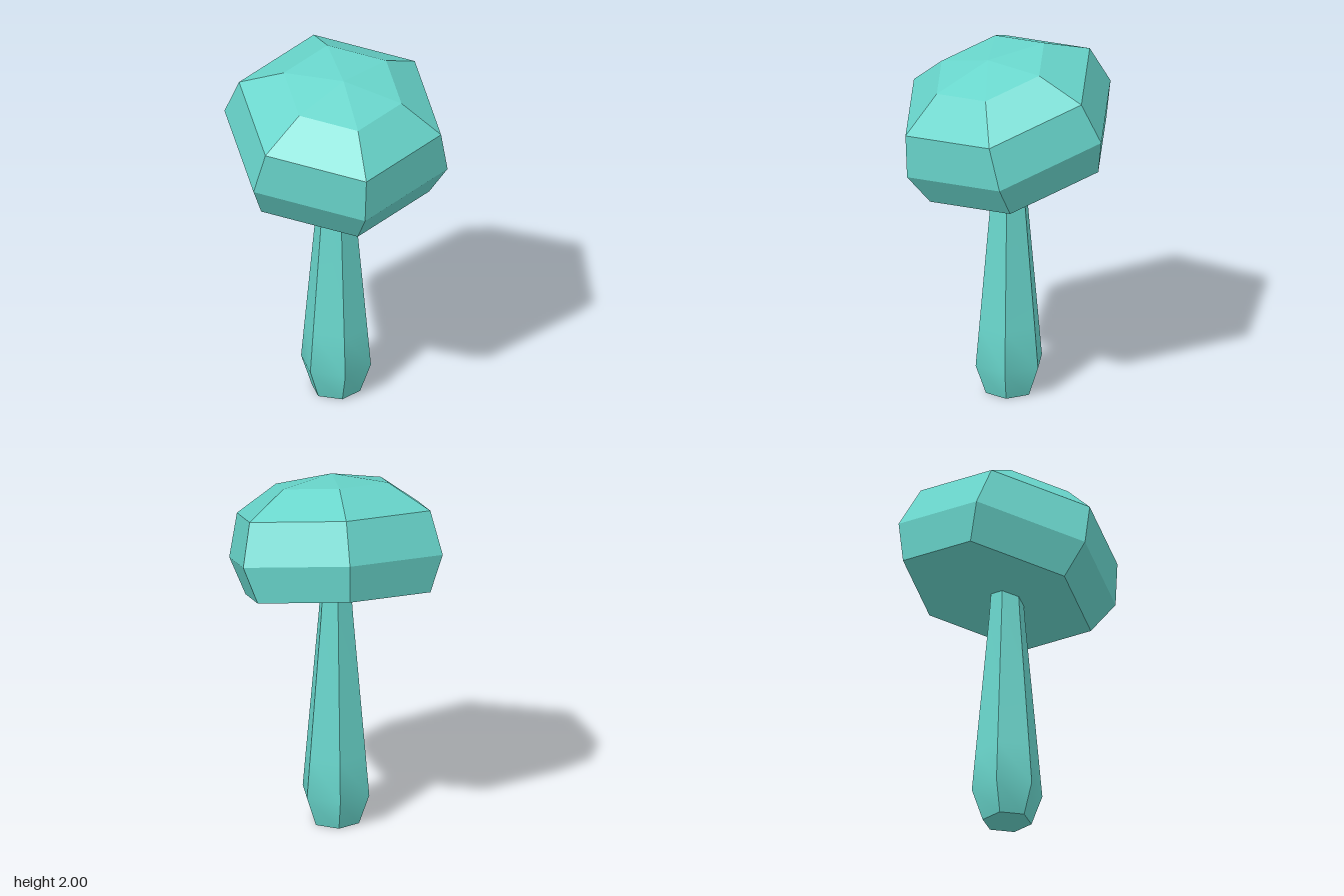
import * as THREE from 'three';
import { toCreasedNormals } from 'three/addons/utils/BufferGeometryUtils.js';

// Six-sided turned solid from [radius, height] pairs, with corners on the x axis
function hexTurned(profile, creaseAngle) {
  const points = profile.map(([r, y]) => new THREE.Vector2(r, y));
  const geometry = new THREE.LatheGeometry(points, 6).rotateY(Math.PI / 2);
  return toCreasedNormals(geometry, creaseAngle);
}

export function createModel() {
  const model = new THREE.Group();
  model.name = 'mushroom';

  const teal = new THREE.MeshStandardMaterial({ color: 0x68d5cb });
  teal.name = 'teal';

  // Stem: softened along its length, sharp between its six sides
  const stem = new THREE.Mesh(hexTurned([
    [0, 0], [0.135, 0], [0.195, 0.17], [0.174, 0.4], [0.1, 1.2], [0.085, 1.4], [0, 1.4],
  ], Math.PI / 6), teal);
  stem.name = 'stem';
  model.add(stem);

  // Cap: faceted dome with a flat underside, leaning forward and to its left
  const cap = new THREE.Mesh(hexTurned([
    [0, -0.202], [0.542, -0.202], [0.626, 0], [0.567, 0.24], [0.33, 0.395], [0, 0.448],
  ], 0.01), teal);
  cap.name = 'cap';
  const up = new THREE.Vector3(0.165, 1, 0.245).normalize();
  const side = new THREE.Vector3(0.986, -0.16, -0.028).normalize();
  const front = new THREE.Vector3().crossVectors(side, up).normalize();
  side.crossVectors(up, front);
  cap.quaternion.setFromRotationMatrix(new THREE.Matrix4().makeBasis(side, up, front));
  cap.position.set(0, 1.53, 0);
  model.add(cap);

  return model;
}
